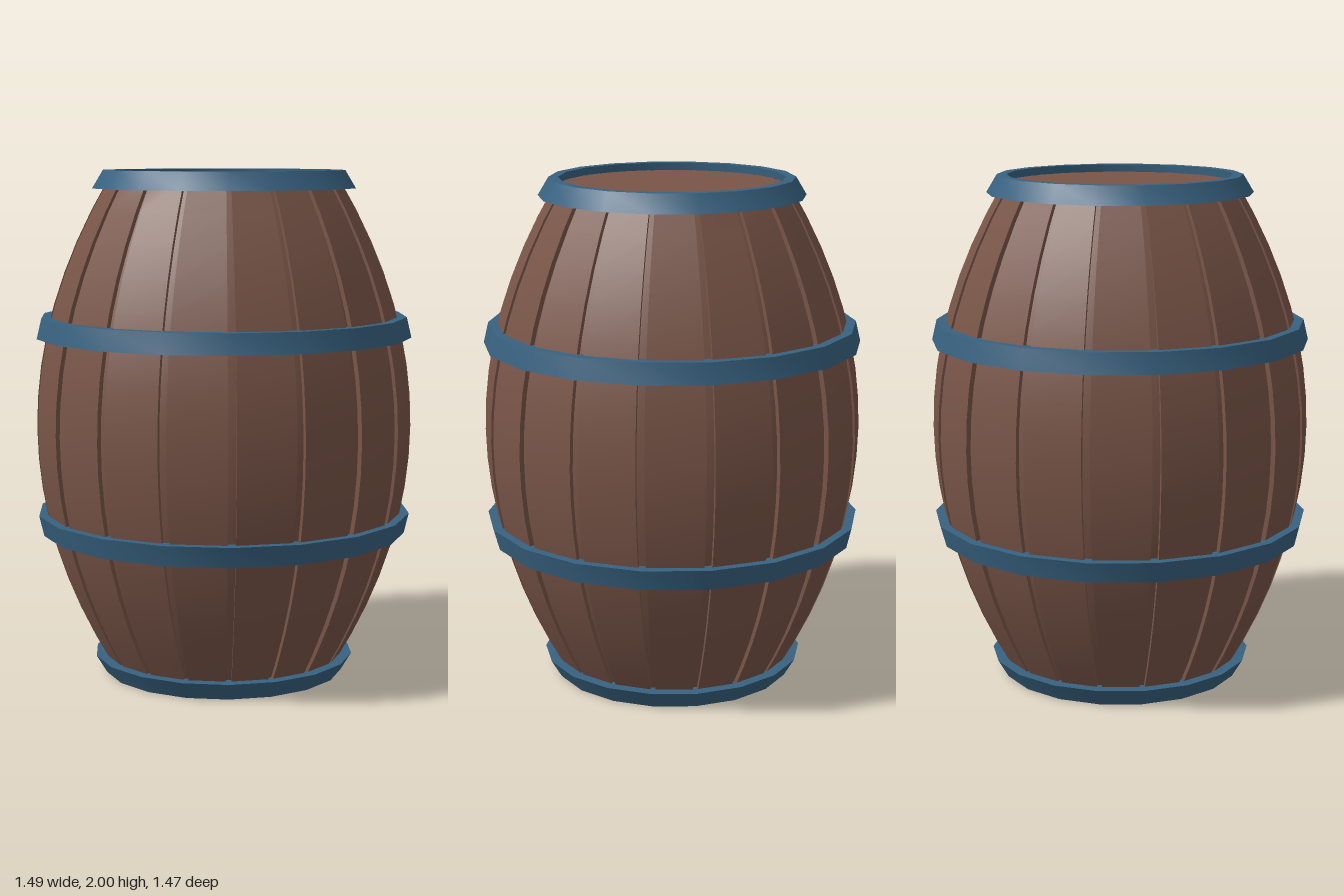
import * as THREE from 'three';
import { toCreasedNormals } from 'three/addons/utils/BufferGeometryUtils.js';

const STAVES = 18;
const STEP = (Math.PI * 2) / STAVES;
const CREASE = 0.5;

const wood = new THREE.MeshStandardMaterial({ color: 0x795548 });
const iron = new THREE.MeshStandardMaterial({ color: 0x37617f });

// Bulging profile: distance from the axis to the flat of a stave at height y
const bulge = (y) => 0.735 - 0.306 * (y - 1) ** 2;

// One horizontal ring: flat staves separated by narrow sunken grooves
function ring(y) {
  const half = STEP / 2 - 0.022;
  const points = [];
  for (let i = 0; i < STAVES; i++) {
    const mid = (i + 0.5) * STEP;
    const outer = bulge(y) / Math.cos(half);
    const inner = outer - 0.02;
    for (const [r, a] of [[inner, -half], [outer, -half], [outer, half], [inner, half]]) {
      points.push([r * Math.cos(mid + a), y, -r * Math.sin(mid + a)]);
    }
  }
  return points;
}

// Staved body with flat heads, recessed a little below the end hoops
function bodyGeometry() {
  const low = 0.03, high = 1.97, rows = 16, n = STAVES * 4;
  const pos = [], index = [];
  for (let j = 0; j <= rows; j++) {
    pos.push(...ring(low + ((high - low) * j) / rows).flat());
  }
  for (let j = 0; j < rows; j++) {
    for (let i = 0; i < n; i++) {
      const a = j * n + i, b = j * n + ((i + 1) % n);
      index.push(a, b, b + n, a, b + n, a + n);
    }
  }
  // Heads
  const bottom = pos.length / 3, top = bottom + 1, last = rows * n;
  pos.push(0, low, 0, 0, high, 0);
  for (let i = 0; i < n; i++) {
    const k = (i + 1) % n;
    index.push(bottom, k, i, top, last + i, last + k);
  }
  const g = new THREE.BufferGeometry();
  g.setAttribute('position', new THREE.Float32BufferAttribute(pos, 3));
  g.setIndex(index);
  return toCreasedNormals(g, CREASE);
}

// Hoop from a closed section, listed anticlockwise as [radius, y]
function hoop(name, section) {
  const points = [...section, section[0]].map(([r, y]) => new THREE.Vector2(r, y));
  const g = new THREE.LatheGeometry(points, STAVES, Math.PI / 2);
  const mesh = new THREE.Mesh(toCreasedNormals(g, CREASE), iron);
  mesh.name = name;
  return mesh;
}

// Same section reflected about mid height, reversed to keep its winding
const flip = (section) => section.map(([r, y]) => [r, 2 - y]).reverse();

export function createModel() {
  const barrel = new THREE.Group();
  barrel.name = 'barrel';

  const body = new THREE.Mesh(bodyGeometry(), wood);
  body.name = 'staves';
  barrel.add(body);

  const end = [[0.445, 1.93], [0.52, 1.93], [0.478, 2], [0.44, 2]];
  const middle = [[0.675, 1.35], [0.743, 1.35], [0.724, 1.43], [0.66, 1.43]];
  barrel.add(
    hoop('topHoop', end),
    hoop('upperHoop', middle),
    hoop('lowerHoop', flip(middle)),
    hoop('bottomHoop', flip(end)),
  );
  return barrel;
}
